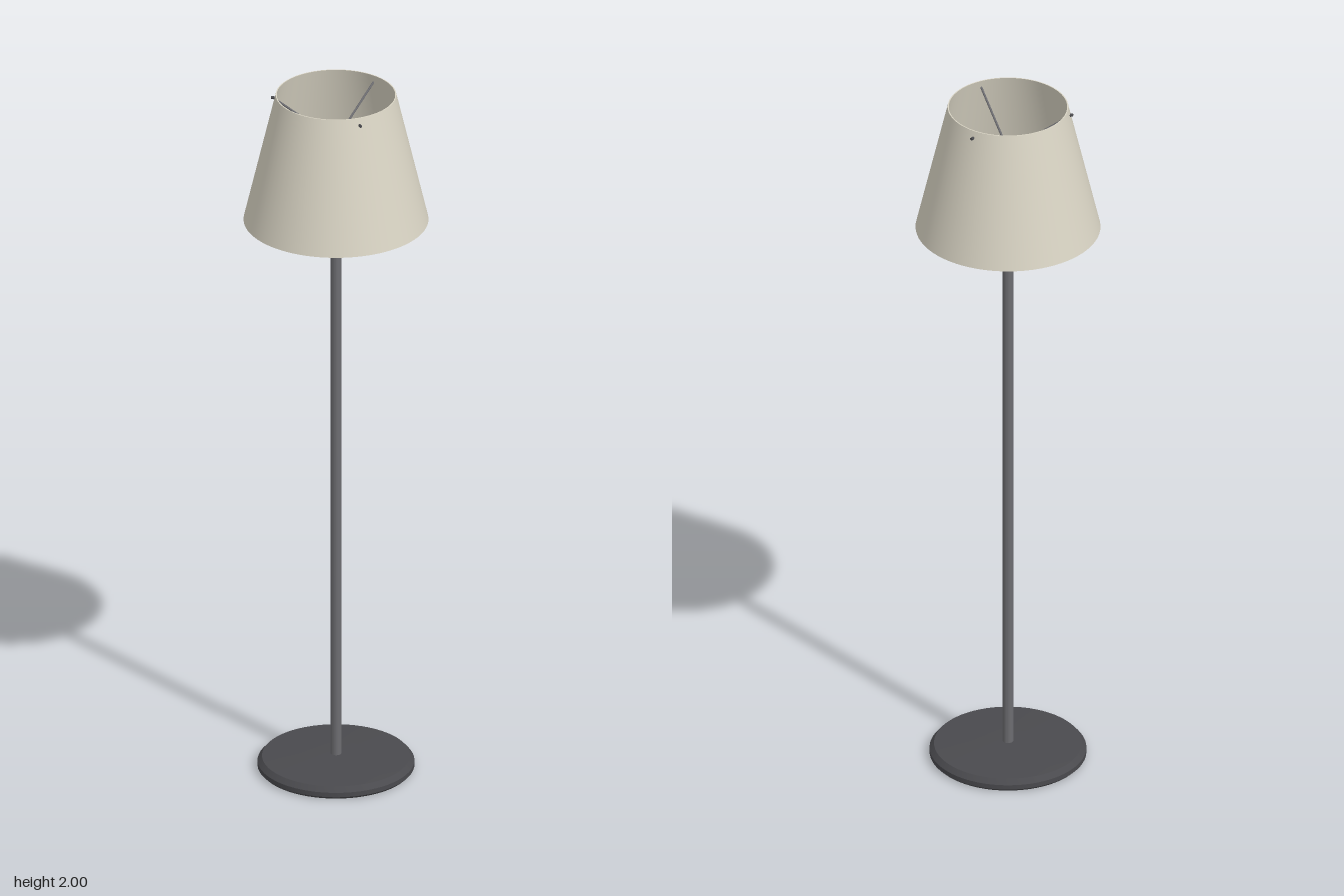
import * as THREE from 'three';
import { toCreasedNormals } from 'three/addons/utils/BufferGeometryUtils.js';

const material = (name, color) => {
  const m = new THREE.MeshStandardMaterial({ color });
  m.name = name;
  return m;
};

// Revolved part with sharp profile corners kept crisp
const lathe = (points, segments) => toCreasedNormals(
  new THREE.LatheGeometry(points.map(([r, y]) => new THREE.Vector2(r, y)), segments), 0.45);

export function createModel() {
  const group = new THREE.Group();
  const fabric = material('cream fabric', 0xd9d4c4);
  const steel = material('grey steel', 0x6c6c70);
  const iron = material('dark iron', 0x4a4a4e);

  const add = (name, geometry, mat, parent = group) => {
    const mesh = new THREE.Mesh(geometry, mat);
    mesh.name = name;
    parent.add(mesh);
    return mesh;
  };

  // Weighted foot with bevelled rim and slightly raised top
  add('base', lathe([
    [0, 0], [0.205, 0], [0.212, 0.007], [0.212, 0.02],
    [0.2, 0.034], [0.1, 0.039], [0, 0.041],
  ], 64), iron);

  // Pole with a rounded tip
  add('pole', lathe([
    [0.0145, 0.03], [0.0145, 1.702], [0.0105, 1.71], [0, 1.713],
  ], 24), steel);

  // Thin-walled open shade
  add('shade', lathe([
    [0.247, 1.63], [0.25, 1.63], [0.163, 2], [0.16, 2], [0.247, 1.63],
  ], 72), fabric);

  // Bulb
  const bulb = add('bulb', new THREE.SphereGeometry(0.048, 32, 20), fabric);
  bulb.position.y = 1.803;

  // Three sloping struts that pierce the shade, each with an end nub
  const up = new THREE.Vector3(0, 1, 0);
  const inner = new THREE.Vector3(0.014, 1.875, 0);
  const outer = new THREE.Vector3(0.172, 1.981, 0);
  const direction = outer.clone().sub(inner);
  for (let i = 0; i < 3; i++) {
    const strut = new THREE.Group();
    strut.name = 'shadeStrut' + (i + 1);
    strut.rotation.y = i * Math.PI * 2 / 3;
    const rod = add('rod', new THREE.CapsuleGeometry(0.003, direction.length(), 4, 10), steel, strut);
    rod.position.copy(inner).lerp(outer, 0.5);
    rod.quaternion.setFromUnitVectors(up, direction.clone().normalize());
    const nub = add('nub', new THREE.CylinderGeometry(0.004, 0.004, 0.009, 12), iron, strut);
    nub.position.copy(outer);
    nub.rotation.z = Math.PI / 2;
    group.add(strut);
  }
  return group;
}
